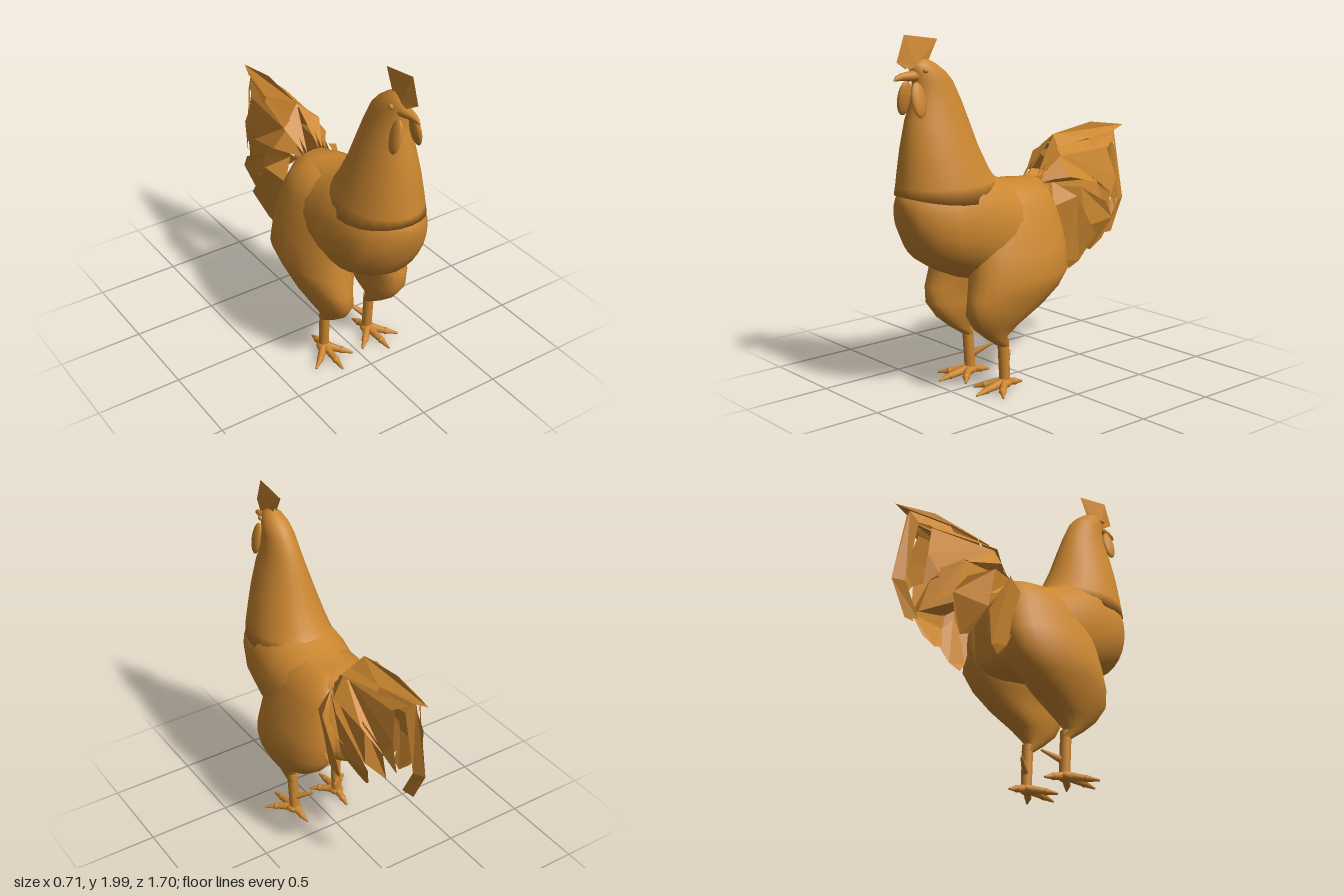
import * as THREE from 'three';

const plumage = new THREE.MeshStandardMaterial({ color: 0xcc8730, side: THREE.DoubleSide });
plumage.name = 'amber plumage';

const V = (x, y, z) => new THREE.Vector3(x, y, z);

function mesh(name, geometry) {
  const m = new THREE.Mesh(geometry, plumage);
  m.name = name;
  return m;
}

// Closed smooth skin through rings of points (each ring counter-clockwise about the direction of travel)
function loft(rings) {
  const n = rings[0].length, pos = [], idx = [];
  rings.forEach(r => r.forEach(p => pos.push(p.x, p.y, p.z)));
  for (let i = 0; i < rings.length - 1; i++) {
    for (let j = 0; j < n; j++) {
      const k = (j + 1) % n, a = i * n + j, b = i * n + k, c = b + n, d = a + n;
      idx.push(a, b, d, b, c, d);
    }
  }
  [0, rings.length - 1].forEach((e, cap) => {
    const mid = rings[e].reduce((s, p) => s.add(p), V(0, 0, 0)).divideScalar(n);
    const c = pos.length / 3;
    pos.push(mid.x, mid.y, mid.z);
    for (let j = 0; j < n; j++) {
      const a = e * n + j, b = e * n + (j + 1) % n;
      if (cap) idx.push(c, a, b); else idx.push(c, b, a);
    }
  });
  const g = new THREE.BufferGeometry();
  g.setAttribute('position', new THREE.Float32BufferAttribute(pos, 3));
  g.setIndex(idx);
  g.computeVertexNormals();
  return g;
}

// Rounded ring of 24 points; k below 1 makes it squarer
function ring(place, k = 1, n = 24) {
  const bend = v => Math.sign(v) * Math.pow(Math.abs(v), k);
  return Array.from({ length: n }, (_, i) => {
    const t = i / n * Math.PI * 2;
    return place(bend(Math.sin(t)), bend(Math.cos(t)));
  });
}

// Horizontal ring from front/back and left/right limits
const level = (y, front, back, x0, x1, k, liftF = 0, liftB = 0) => ring((s, c) => V(
  (x0 + x1) / 2 + s * (x1 - x0) / 2,
  y + (c > 0 ? liftF : liftB) * c * c,
  (front + back) / 2 + c * (front - back) / 2), k);

// Tapered round limb between two points
function limb(name, a, b, r0, r1) {
  const g = new THREE.CylinderGeometry(r1, r0, a.distanceTo(b), 10);
  const m = mesh(name, g);
  m.position.copy(a).add(b).multiplyScalar(0.5);
  m.quaternion.setFromUnitVectors(V(0, 1, 0), b.clone().sub(a).normalize());
  return m;
}

function ball(name, p, rx, ry, rz) {
  const m = mesh(name, new THREE.SphereGeometry(1, 14, 10));
  m.position.copy(p);
  m.scale.set(rx, ry, rz);
  return m;
}

// Folded sheet from an outline of [z, y, x] corners
function sheet(name, outline, side) {
  const tris = THREE.ShapeUtils.triangulateShape(outline.map(p => new THREE.Vector2(p[0], p[1])), []);
  const pos = tris.flat().flatMap(i => [outline[i][2] * side, outline[i][1], outline[i][0]]);
  const g = new THREE.BufferGeometry();
  g.setAttribute('position', new THREE.Float32BufferAttribute(pos, 3));
  g.computeVertexNormals();
  return mesh(name, g);
}

export function createModel() {
  const model = new THREE.Group();
  model.name = 'rooster';

  // Torso: z, top, bottom, half width
  const torso = [
    [-0.19, 0.95, 0.66, 0.08], [-0.165, 1.1, 0.61, 0.16], [-0.1, 1.165, 0.59, 0.21],
    [0, 1.165, 0.59, 0.24], [0.15, 1.18, 0.6, 0.265], [0.3, 1.25, 0.62, 0.28],
    [0.45, 1.29, 0.66, 0.275], [0.6, 1.27, 0.725, 0.25], [0.7, 1.24, 0.79, 0.205],
    [0.775, 1.19, 0.91, 0.13], [0.81, 1.15, 1.03, 0.06]];
  model.add(mesh('torso', loft(torso.map(([z, t, b, w]) =>
    ring((s, c) => V(w * c, (t + b) / 2 + s * (t - b) / 2, z), 0.93)))));

  // Neck hackle with a flared lower rim, running up into the head: y, front, back, half width
  const neck = [
    [1.11, 0.82, 0.165, 0.245, 0.045, 0.07], [1.2, 0.812, 0.225, 0.226, 0, 0.01],
    [1.27, 0.805, 0.27, 0.208], [1.4, 0.79, 0.335, 0.174], [1.55, 0.765, 0.39, 0.13],
    [1.65, 0.73, 0.43, 0.102], [1.75, 0.72, 0.48, 0.083], [1.8, 0.735, 0.525, 0.073],
    [1.845, 0.73, 0.585, 0.05], [1.87, 0.69, 0.64, 0.018]];
  model.add(mesh('neckAndHead', loft(neck.map(([y, f, b, w, lf, lb]) => level(y, f, b, -w, w, 1, lf, lb)))));

  // Beak: z, centre height, half height, half width
  const beak = [[0.69, 1.785, 0.035, 0.045], [0.75, 1.785, 0.027, 0.032], [0.8, 1.785, 0.02, 0.02],
    [0.835, 1.777, 0.014, 0.011], [0.85, 1.768, 0.004, 0.003]];
  model.add(mesh('beak', loft(beak.map(([z, y, h, w]) => ring((s, c) => V(w * c, y + h * s, z), 1, 12)))));

  // Thigh and flank: y, front, back, inner x, outer x
  const thigh = [
    [0.26, 0.28, 0.215, 0.125, 0.19], [0.32, 0.37, 0.235, 0.12, 0.205], [0.39, 0.455, 0.15, 0.085, 0.248],
    [0.48, 0.515, 0, 0.065, 0.295], [0.57, 0.51, -0.11, 0.055, 0.325], [0.67, 0.475, -0.18, 0, 0.356],
    [0.8, 0.46, -0.185, 0, 0.322], [0.9, 0.45, -0.175, 0, 0.292], [1.02, 0.42, -0.15, 0, 0.25],
    [1.11, 0.36, -0.12, 0, 0.2], [1.155, 0.25, -0.05, 0, 0.12]];

  // Tail feathers, from the top ridge down to the splayed lower fan: z, y, x
  const feathers = {
    ridgeFeather: [[-0.1, 1.15, 0.04], [-0.27, 1.385, 0], [-0.57, 1.43, 0], [-0.845, 1.39, 0],
      [-0.75, 1.37, 0.03], [-0.5, 1.35, 0.07], [-0.24, 1.32, 0.07]],
    sickleFeather: [[-0.5, 1.355, 0.05], [-0.755, 1.375, 0.01], [-0.85, 0.94, 0], [-0.755, 0.74, 0],
      [-0.68, 0.745, 0.02], [-0.78, 0.935, 0.03], [-0.72, 1.3, 0.05], [-0.5, 1.3, 0.08]],
    upperFeather: [[-0.1, 1.15, 0.06], [-0.24, 1.325, 0.05], [-0.5, 1.355, 0.05], [-0.73, 1.34, 0.03],
      [-0.64, 1.28, 0.08], [-0.22, 1.28, 0.12]],
    middleFeather: [[-0.1, 1.14, 0.08], [-0.22, 1.285, 0.09], [-0.64, 1.29, 0.06], [-0.69, 1.1, 0.1],
      [-0.705, 0.9, 0.08], [-0.63, 1.0, 0.12], [-0.48, 1.1, 0.16], [-0.24, 1.16, 0.18]],
    sideFeather: [[-0.1, 1.13, 0.1], [-0.24, 1.17, 0.15], [-0.48, 1.12, 0.14], [-0.62, 1.03, 0.12],
      [-0.64, 0.83, 0.1], [-0.54, 0.9, 0.17], [-0.3, 0.95, 0.21]],
    rearFanFeather: [[-0.12, 1.12, 0.12], [-0.3, 1.1, 0.2], [-0.5, 0.99, 0.205], [-0.58, 0.88, 0.18],
      [-0.53, 0.75, 0.14], [-0.47, 0.69, 0.11], [-0.41, 0.71, 0.12], [-0.35, 0.86, 0.2]],
    lowerFanFeather: [[-0.1, 1.01, 0.19], [-0.14, 1.14, 0.13], [-0.23, 1.06, 0.245], [-0.38, 0.82, 0.245],
      [-0.31, 0.66, 0.18], [-0.25, 0.62, 0.16], [-0.2, 0.68, 0.18], [-0.15, 0.82, 0.22]],
  };

  // Comb: outline with a swollen centre line
  const comb = [[[0.72, 1.84, 0.025], [0.76, 1.82, 0.02], [0.83, 1.86, 0], [0.78, 2, 0]],
    [[0.72, 1.84, 0.025], [0.78, 2, 0], [0.565, 1.97, 0], [0.635, 1.86, 0.012]]];

  for (const side of [1, -1]) {
    const half = new THREE.Group();
    half.name = side > 0 ? 'leftSide' : 'rightSide';
    model.add(half);
    const P = (x, y, z) => V(x * side, y, z);

    half.add(mesh('thigh', loft(thigh.map(([y, f, b, x0, x1]) => {
      return level(y, f, b, Math.min(x0 * side, x1 * side), Math.max(x0 * side, x1 * side), 0.92);
    }))));
    for (const [name, outline] of Object.entries(feathers)) half.add(sheet(name, outline, side));
    comb.forEach(o => half.add(sheet('comb', o, side)));

    // Face
    half.add(ball('eye', P(0.062, 1.815, 0.69), 0.012, 0.014, 0.016));
    const wattle = ball('wattle', P(0.062, 1.665, 0.738), 0.022, 0.095, 0.045);
    wattle.rotation.z = side * 0.22;
    half.add(wattle);

    // Shank and spur
    half.add(limb('shank', P(0.155, 0.04, 0.235), P(0.157, 0.3, 0.25), 0.031, 0.032));
    half.add(limb('spur', P(0.145, 0.135, 0.22), P(0.08, 0.19, 0.135), 0.02, 0.007));
    half.add(ball('foot', P(0.157, 0.04, 0.245), 0.045, 0.03, 0.05));

    // Toes: knuckle and claw tip
    const toes = [[0.163, 0.375, 0.167, 0.452], [0.235, 0.32, 0.293, 0.365],
      [0.085, 0.32, 0.035, 0.365], [0.15, 0.16, 0.145, 0.1]];
    for (const [kx, kz, tx, tz] of toes) {
      const knuckle = P(kx, 0.028, kz);
      half.add(limb('toe', P(0.157, 0.045, 0.24), knuckle, 0.027, 0.018));
      half.add(ball('knuckle', knuckle, 0.021, 0.021, 0.021));
      half.add(limb('claw', knuckle, P(tx, 0.014, tz), 0.019, 0.006));
    }
  }
  return model;
}
